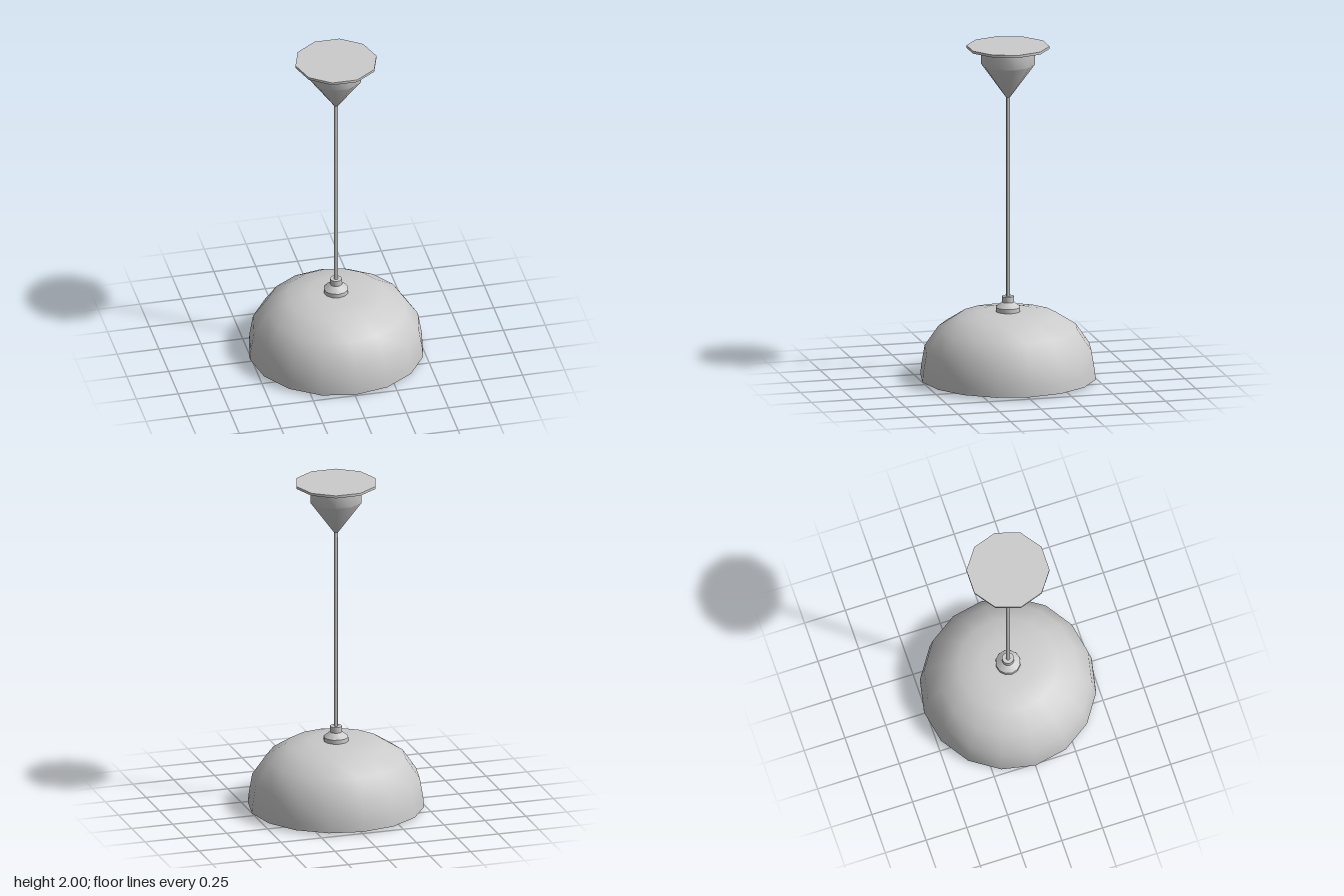
import * as THREE from 'three';
import { toCreasedNormals } from 'three/addons/utils/BufferGeometryUtils.js';

const material = new THREE.MeshStandardMaterial({ color: 0xcccccc });

// Turned part from [radius, height] pairs, with a corner on the x axis
function turned(name, sides, profile, crease = 0.7) {
  const points = profile.map(([r, y]) => new THREE.Vector2(r, y));
  const lathe = new THREE.LatheGeometry(points, sides, Math.PI / 2);
  const mesh = new THREE.Mesh(toCreasedNormals(lathe, crease), material);
  mesh.name = name;
  return mesh;
}

export function createModel() {
  const lamp = new THREE.Group();
  lamp.name = 'pendantLamp';

  // Ceiling mount: thin plate with a tapering cup below it
  lamp.add(turned('ceilingPlate', 10, [[0, 1.985], [0.242, 1.985], [0.242, 2], [0, 2]]));
  lamp.add(turned('ceilingCup', 10, [[0.01, 1.69], [0.157, 1.89], [0.157, 1.986]]));

  // Hanging rod
  lamp.add(turned('rod', 10, [[0.013, 0.48], [0.013, 1.71]]));

  // Stepped collar on top of the shade
  lamp.add(turned('collar', 12, [
    [0.073, 0.4], [0.073, 0.435], [0.035, 0.465], [0.035, 0.5], [0, 0.5],
  ]));

  // Thick dome shade: inner ceiling, inner wall, rim, outer wall, crown
  lamp.add(turned('shade', 16, [
    [0, 0.29], [0.355, 0.29], [0.45, 0.185], [0.488, 0.07], [0.497, 0.015],
    [0.515, 0.015], [0.511, 0.065], [0.49, 0.19], [0.408, 0.31],
    [0.288, 0.387], [0.16, 0.41], [0, 0.41],
  ]));

  // Bulb hanging from the inner ceiling
  lamp.add(turned('bulb', 12, [
    [0, 0], [0.055, 0.009], [0.085, 0.04], [0.1, 0.1],
    [0.092, 0.17], [0.07, 0.25], [0.062, 0.3],
  ]));

  return lamp;
}
